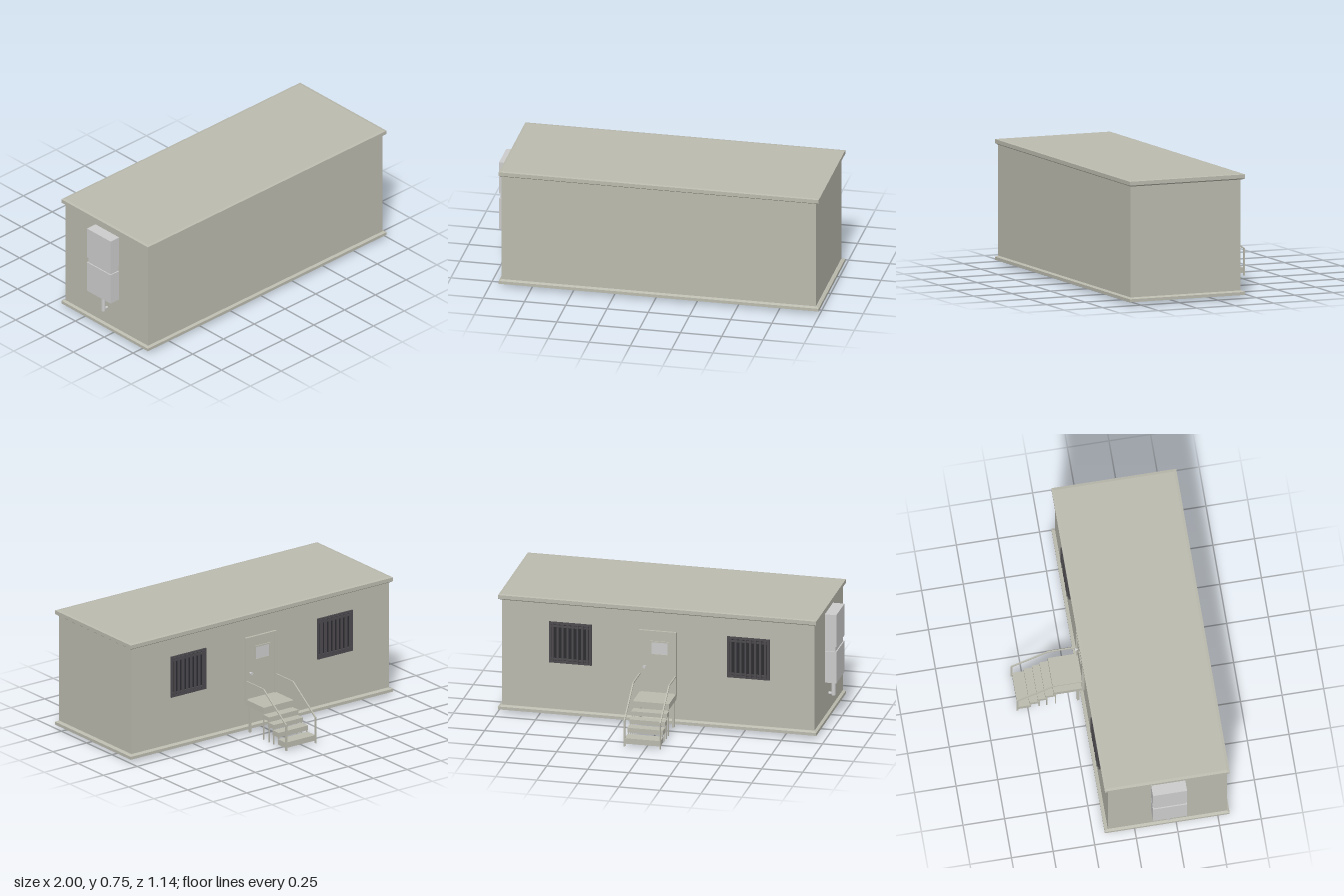
import * as THREE from 'three';

const mat = (color) => new THREE.MeshStandardMaterial({ color, flatShading: true });
const paint = mat(0xbabaae), grey = mat(0xcccccc), dark = mat(0x4c4a4e), glass = mat(0x2c2c30);

export function createModel() {
  const model = new THREE.Group();

  const group = (name, parent = model) => {
    const g = new THREE.Group();
    g.name = name;
    parent.add(g);
    return g;
  };
  const add = (parent, name, geo, m) => {
    const mesh = new THREE.Mesh(geo, m);
    mesh.name = name;
    parent.add(mesh);
    return mesh;
  };
  // Box given by its limits along each axis
  const box = (parent, name, m, x0, x1, y0, y1, z0, z1) => {
    const mesh = add(parent, name, new THREE.BoxGeometry(x1 - x0, y1 - y0, z1 - z0), m);
    mesh.position.set((x0 + x1) / 2, (y0 + y1) / 2, (z0 + z1) / 2);
    return mesh;
  };
  // Box whose top or bottom face is pulled in by an inset
  const taper = (parent, name, m, lim, insetTop, insetBottom) => {
    const mesh = box(parent, name, m, ...lim);
    const p = mesh.geometry.attributes.position;
    for (let i = 0; i < p.count; i++) {
      const d = p.getY(i) > 0 ? insetTop : insetBottom;
      p.setX(i, p.getX(i) - Math.sign(p.getX(i)) * d);
      p.setZ(i, p.getZ(i) - Math.sign(p.getZ(i)) * d);
    }
    mesh.geometry.computeVertexNormals();
    return mesh;
  };
  // Rectangular frame facing the back, with a hole
  const frame = (parent, name, m, x0, x1, y0, y1, z0, z1, w) => {
    box(parent, name, m, x0, x0 + w, y0, y1, z0, z1);
    box(parent, name, m, x1 - w, x1, y0, y1, z0, z1);
    box(parent, name, m, x0 + w, x1 - w, y1 - w, y1, z0, z1);
    box(parent, name, m, x0 + w, x1 - w, y0, y0 + w, z0, z1);
  };
  // Square bar between two points in a plane of constant x
  const bar = (parent, name, m, x, y0, z0, y1, z1, t) => {
    const len = Math.hypot(y1 - y0, z1 - z0);
    const mesh = add(parent, name, new THREE.BoxGeometry(t, t, len + t * 0.6), m);
    mesh.position.set(x, (y0 + y1) / 2, (z0 + z1) / 2);
    mesh.rotation.x = -Math.atan2(y1 - y0, z1 - z0);
  };

  // Cabin shell with base and roof trims
  const cabin = group('cabin');
  box(cabin, 'walls', paint, -0.93, 0.975, 0.03, 0.73, -0.16, 0.555);
  box(cabin, 'baseTrim', paint, -0.945, 0.995, 0.02, 0.038, -0.18, 0.57);
  taper(cabin, 'baseBevel', paint, [-0.945, 0.995, 0.038, 0.046, -0.18, 0.57], 0.015, 0);
  taper(cabin, 'roofBevel', paint, [-0.945, 0.995, 0.711, 0.719, -0.18, 0.57], 0, 0.012);
  box(cabin, 'roofTrim', paint, -0.945, 0.995, 0.719, 0.742, -0.18, 0.57);
  taper(cabin, 'roofTop', paint, [-0.945, 0.995, 0.742, 0.745, -0.18, 0.57], 0.016, 0);

  // Barred windows
  for (const x of [0.558, -0.527]) {
    const win = group('window');
    const x0 = x - 0.13, x1 = x + 0.13;
    box(win, 'windowPane', glass, x0 + 0.01, x1 - 0.01, 0.35, 0.585, -0.164, -0.158);
    frame(win, 'windowFrame', dark, x0, x1, 0.34, 0.597, -0.169, -0.158, 0.014);
    for (let i = 0; i < 8; i++) {
      const bx = x0 + 0.024 + (i * 0.212) / 7;
      box(win, 'windowBar', dark, bx - 0.006, bx + 0.006, 0.348, 0.59, -0.178, -0.168);
    }
    for (const y of [0.365, 0.572])
      box(win, 'barRail', dark, x0 + 0.008, x1 - 0.008, y - 0.005, y + 0.005, -0.172, -0.164);
  }

  // Door with frame, small window and handle
  const door = group('door');
  box(door, 'doorLeaf', paint, -0.08, 0.127, 0.2, 0.585, -0.166, -0.158);
  frame(door, 'doorFrame', paint, -0.09, 0.137, 0.19, 0.595, -0.175, -0.158, 0.014);
  frame(door, 'doorWindowFrame', paint, -0.045, 0.07, 0.44, 0.53, -0.172, -0.164, 0.008);
  box(door, 'doorWindow', grey, -0.039, 0.064, 0.446, 0.524, -0.168, -0.164);
  const spindle = add(door, 'handleSpindle', new THREE.CylinderGeometry(0.005, 0.005, 0.02, 10), grey);
  spindle.rotation.x = Math.PI / 2;
  spindle.position.set(0.103, 0.368, -0.174);
  const knob = add(door, 'handleKnob', new THREE.CylinderGeometry(0.01, 0.01, 0.008, 12), grey);
  knob.rotation.x = Math.PI / 2;
  knob.position.set(0.103, 0.368, -0.183);

  // Landing and steps: [back z, front z, bottom y, top y]
  const stairs = group('stairs');
  box(stairs, 'landing', paint, -0.088, 0.134, 0.17, 0.206, -0.345, -0.158);
  const steps = [
    [-0.395, -0.335, 0.134, 0.16], [-0.44, -0.385, 0.098, 0.125],
    [-0.49, -0.43, 0.06, 0.09], [-0.56, -0.482, 0.015, 0.049],
  ];
  for (const [z0, z1, y0, y1] of steps)
    box(stairs, 'step', paint, -0.086, 0.132, y0, y1, z0, z1);

  // Legs, stringer plates and handrails on both sides
  for (const [x, s] of [[-0.086, 1], [0.132, -1]]) {
    const lx = x + s * 0.006;
    box(stairs, 'landingLeg', paint, lx - 0.007, lx + 0.007, 0.008, 0.172, -0.205, -0.19);
    for (const [z, top] of [[-0.333, 0.172], [-0.386, 0.14], [-0.431, 0.102], [-0.484, 0.064]])
      box(stairs, 'stepLeg', paint, lx - 0.003, lx + 0.003, z < -0.45 ? 0.03 : 0, top, z - 0.003, z + 0.003);
    bar(stairs, 'handrail', paint, x, 0.32, -0.168, 0.32, -0.34, 0.008);
    bar(stairs, 'handrail', paint, x, 0.32, -0.34, 0.162, -0.562, 0.008);
    box(stairs, 'railPost', paint, x - 0.004, x + 0.004, 0, 0.165, -0.569, -0.558);
  }

  // Wall cabinet in two halves with a recessed neck
  const cabinet = group('wallCabinet');
  box(cabinet, 'upperCabinet', grey, -1, -0.928, 0.487, 0.687, 0.1, 0.305);
  box(cabinet, 'cabinetNeck', grey, -0.993, -0.928, 0.45, 0.49, 0.107, 0.298);
  box(cabinet, 'lowerCabinet', grey, -1, -0.928, 0.256, 0.453, 0.1, 0.305);

  // Drain pipe with collar and an elbow into the wall
  const collar = add(cabinet, 'pipeCollar', new THREE.CylinderGeometry(0.021, 0.018, 0.014, 14), grey);
  collar.position.set(-0.959, 0.25, 0.2);
  const pipe = add(cabinet, 'pipe', new THREE.CylinderGeometry(0.013, 0.013, 0.102, 14), grey);
  pipe.position.set(-0.959, 0.197, 0.2);
  const elbow = add(cabinet, 'pipeElbow', new THREE.CylinderGeometry(0.009, 0.009, 0.034, 12), grey);
  elbow.rotation.z = Math.PI / 2;
  elbow.position.set(-0.943, 0.156, 0.2);

  return model;
}
